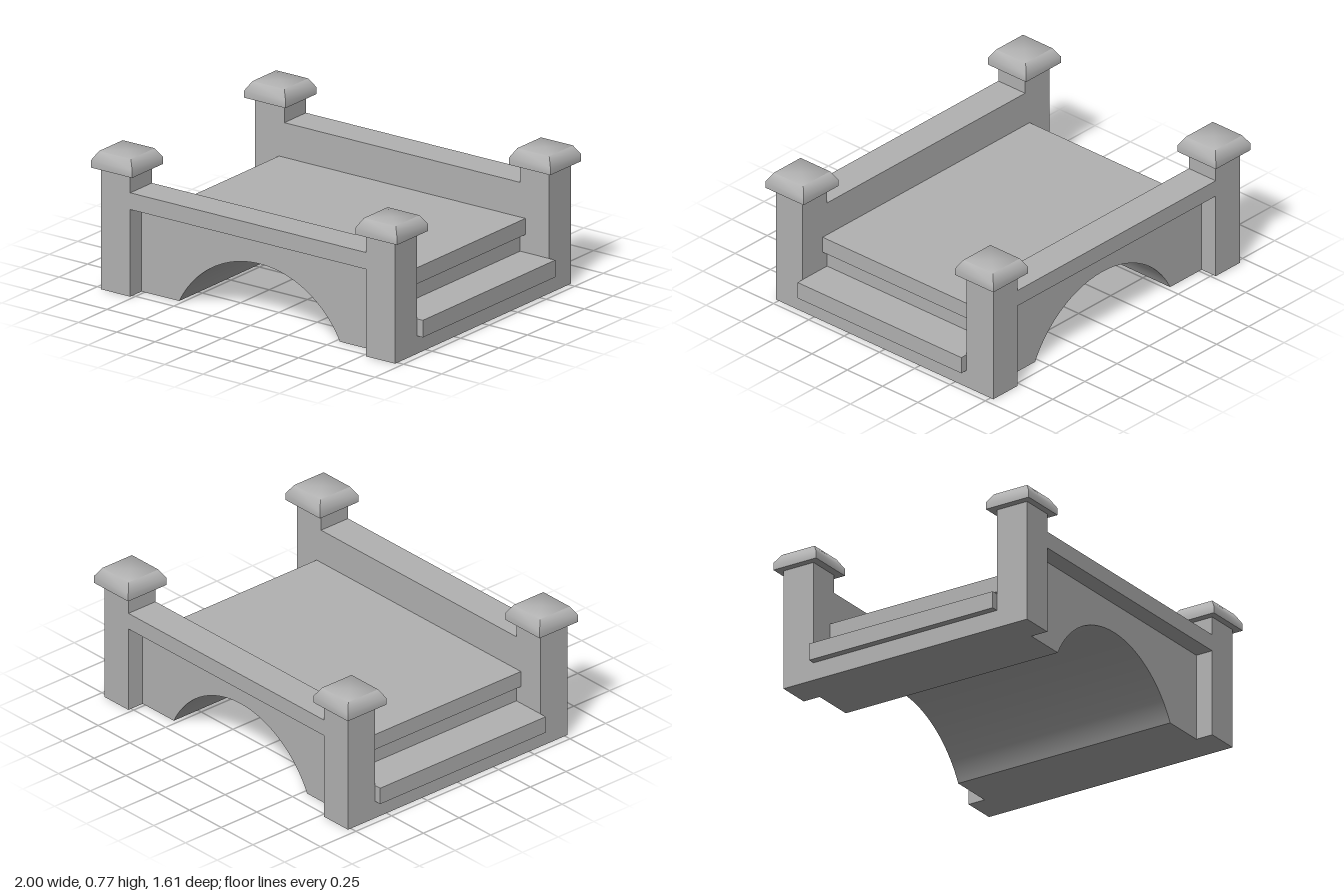
import * as THREE from 'three';
import { toCreasedNormals } from 'three/addons/utils/BufferGeometryUtils.js';

export function createModel() {
  const bridge = new THREE.Group();
  bridge.name = 'bridge';
  const stone = new THREE.MeshStandardMaterial({ color: 0xb2b2b2 });
  stone.name = 'stone grey';

  const add = (name, geometry) => {
    const mesh = new THREE.Mesh(geometry, stone);
    mesh.name = name;
    bridge.add(mesh);
    return mesh;
  };
  // Box given by its limits on each axis
  const block = (name, x0, x1, y0, y1, z0, z1) => {
    const mesh = add(name, new THREE.BoxGeometry(Math.abs(x1 - x0), y1 - y0, Math.abs(z1 - z0)));
    mesh.position.set((x0 + x1) / 2, (y0 + y1) / 2, (z0 + z1) / 2);
  };

  // Main body with the arched passage underneath
  const half = 0.525, rise = 0.32;
  const radius = (half * half + rise * rise) / (2 * rise);
  const centreY = rise - radius;
  const start = Math.atan2(-centreY, half);
  const profile = new THREE.Shape();
  profile.moveTo(0.77, 0);
  profile.lineTo(0.77, 0.385);
  profile.lineTo(-0.77, 0.385);
  profile.lineTo(-0.77, 0);
  profile.lineTo(-half, 0);
  profile.absarc(0, centreY, radius, Math.PI - start, start, true);
  const body = new THREE.ExtrudeGeometry(profile, { depth: 1.34, bevelEnabled: false, curveSegments: 32 });
  body.translate(0, 0, -0.67);
  add('archBody', toCreasedNormals(body, 0.5));

  // Stairs at both ends: base, projecting tread and deck nosing
  for (const [side, s] of [['left', 1], ['right', -1]]) {
    block(side + 'StepBase', s * 0.77, s * 0.96, 0, 0.1, -0.58, 0.58);
    block(side + 'StepTread', s * 0.77, s, 0.1, 0.195, -0.58, 0.58);
    block(side + 'DeckNosing', s * 0.77, s * 0.805, 0.295, 0.385, -0.58, 0.58);
  }

  // Parapets: recessed wall with a projecting coping
  for (const [face, s] of [['front', 1], ['back', -1]]) {
    block(face + 'ParapetWall', -0.77, 0.77, 0.385, 0.485, s * 0.58, s * 0.67);
    block(face + 'Coping', -0.77, 0.77, 0.485, 0.578, s * 0.58, s * 0.77);
  }

  // Square post caps with softened, sloping shoulders
  const capProfile = [[0, 0.68], [0.135, 0.68], [0.135, 0.72], [0.104, 0.77], [0, 0.77]]
    .map(([r, y]) => new THREE.Vector2(r * Math.SQRT2, y));
  const cap = toCreasedNormals(new THREE.LatheGeometry(capProfile, 4, Math.PI / 4), 1.15);

  // Corner posts
  for (const [face, sz] of [['front', 1], ['back', -1]]) {
    for (const [side, sx] of [['Left', 1], ['Right', -1]]) {
      block(face + side + 'Post', sx * 0.77, sx * 0.96, 0, 0.68, sz * 0.58, sz * 0.77);
      add(face + side + 'PostCap', cap).position.set(sx * 0.865, 0, sz * 0.672);
    }
  }
  return bridge;
}
